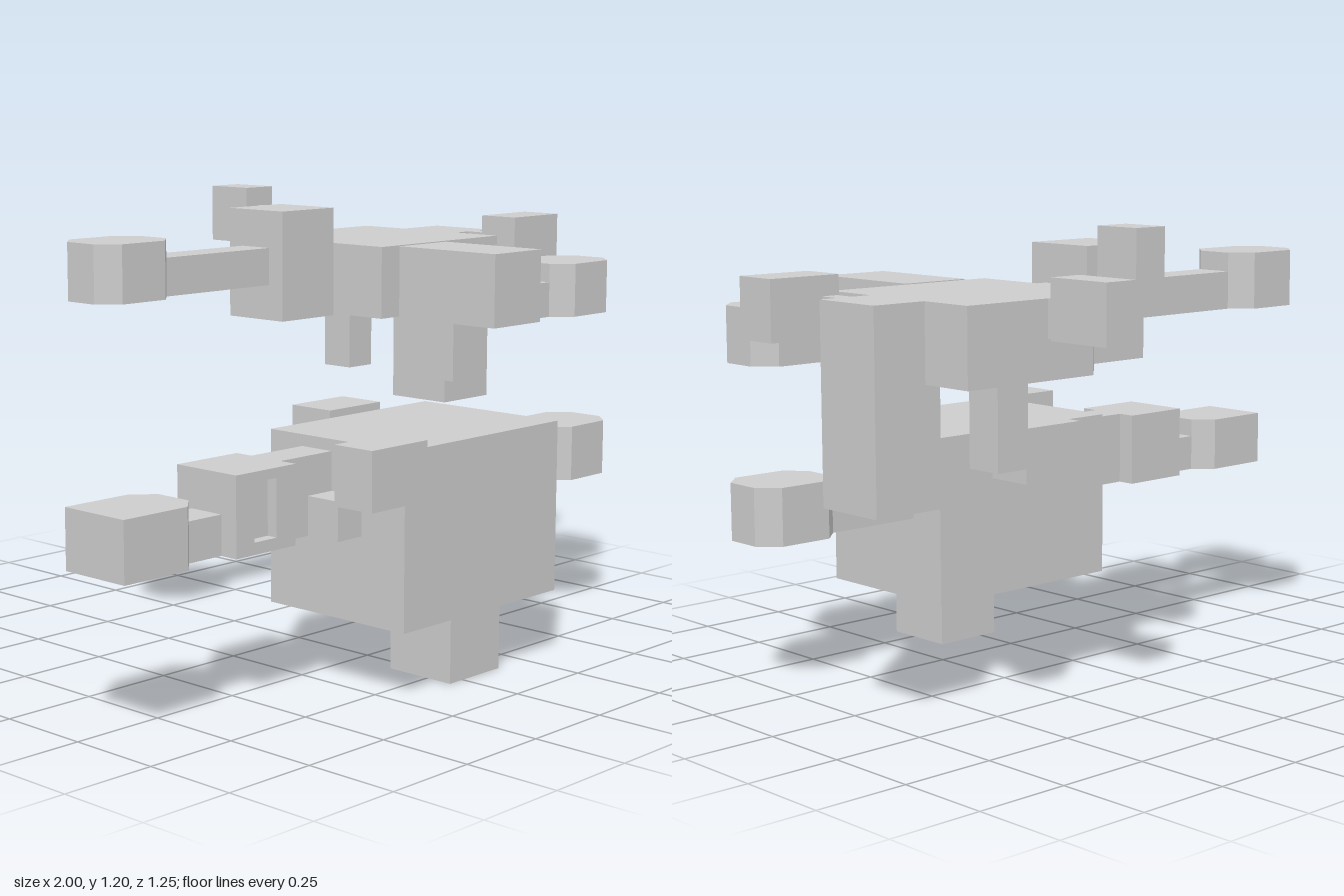
import * as THREE from 'three';

export function createModel() {
  const model = new THREE.Group();
  const grey = new THREE.MeshStandardMaterial({ color: 0xcccccc });
  grey.name = 'light grey';

  const add = (name, geometry) => {
    const mesh = new THREE.Mesh(geometry, grey);
    mesh.name = name;
    model.add(mesh);
    return mesh;
  };

  // Box given by its extents on each axis
  const box = (name, [x0, x1], [y0, y1], [z0, z1]) =>
    add(name, new THREE.BoxGeometry(x1 - x0, y1 - y0, z1 - z0)
      .translate((x0 + x1) / 2, (y0 + y1) / 2, (z0 + z1) / 2));

  // Upright prism over a plan outline of [x, z] corners
  const prism = (name, plan, [y0, y1]) => {
    const shape = new THREE.Shape(plan.map(([x, z]) => new THREE.Vector2(x, -z)));
    const geometry = new THREE.ExtrudeGeometry(shape, { depth: y1 - y0, bevelEnabled: false });
    return add(name, geometry.rotateX(-Math.PI / 2).translate(0, y0, 0));
  };

  // Hand with clipped corners; cutLeft / cutRight set the clip at low and high x
  const hand = (name, [x0, x1], y, [z0, z1], cutLeft = 0.05, cutRight = 0.05) => {
    const l = cutLeft, r = cutRight;
    const plan = [[x0 + l, z1], [x1 - r, z1]];
    if (r) plan.push([x1, z1 - r], [x1, z0 + r]);
    plan.push([x1 - r, z0], [x0 + l, z0]);
    if (l) plan.push([x0, z0 + l], [x0, z1 - l]);
    return prism(name, plan, y);
  };

  const armZ = [0.27, 0.37], handZ = [0.22, 0.42], rearZ = [-0.28, -0.08];

  // Lower body
  box('lowerBody', [-0.27, 0.33], [0.18, 0.63], [0.16, 0.61]);
  box('lowerFoot', [-0.05, 0.145], [0, 0.18], [0.375, 0.575]);
  box('lowerBackBlock', [-0.05, 0.145], [0.5, 0.65], [0.025, 0.16]);
  box('lowerFrontBlock', [-0.4, -0.2], [0.5, 0.65], [0.5, 0.62]);

  // Lower arm at low x, with a recessed elbow
  box('lowerRightShoulder', [-0.45, -0.27], [0.4, 0.6], armZ);
  box('lowerRightShoulderStep', [-0.355, -0.27], [0.4, 0.5], [0.37, 0.47]);
  box('lowerRightElbow', [-0.65, -0.45], [0.4, 0.6], [0.22, 0.39]);
  const frame = new THREE.Shape([[-0.65, 0.4], [-0.45, 0.4], [-0.45, 0.6], [-0.65, 0.6]]
    .map(p => new THREE.Vector2(...p)));
  frame.holes.push(new THREE.Path([[-0.59, 0.43], [-0.59, 0.575], [-0.515, 0.575], [-0.515, 0.43]]
    .map(p => new THREE.Vector2(...p))));
  add('lowerRightElbowFrame',
    new THREE.ExtrudeGeometry(frame, { depth: 0.03, bevelEnabled: false }).translate(0, 0, 0.39));
  box('lowerRightWrist', [-0.755, -0.65], [0.4, 0.5], armZ);
  hand('lowerRightHand', [-1, -0.755], [0.4, 0.55], handZ, 0);

  // Lower arm at high x, with two pegs
  box('lowerLeftArm', [0.33, 0.6], [0.4, 0.5], armZ);
  for (const x of [[0.33, 0.37], [0.5, 0.545]]) box('armPeg', x, [0.5, 0.575], [0.305, 0.35]);
  hand('lowerLeftHand', [0.6, 0.845], [0.4, 0.55], handZ);

  // Upper body with one clipped corner
  prism('upperBody', [[0.25, 0.07], [0.745, 0.07], [0.745, -0.43], [0.345, -0.43], [0.25, -0.335]],
    [0.855, 1.05]);
  box('tallLeg', [0.7, 0.895], [0.555, 1.05], rearZ);
  box('frontShortLeg', [0.55, 0.645], [0.65, 0.95], [-0.02, 0.075]);
  box('backShortLeg', [0.55, 0.645], [0.65, 0.95], [-0.42, -0.32]);

  // Upper front arm
  box('upperFrontJoint', [0.325, 0.47], [0.875, 1.03], [0.06, 0.1]);
  box('upperFrontBlock', [0.3, 0.495], [0.855, 1.05], [0.09, 0.42]);
  box('upperFrontPlate', [0.495, 0.52], [0.87, 1], [0.25, 0.395]);
  box('upperFrontWrist', [0.495, 0.6], [0.855, 0.95], armZ);
  hand('upperFrontHand', [0.6, 0.845], [0.855, 1], handZ);

  // Long arm and its shoulder block
  box('longArmJoint', [0.21, 0.26], [0.95, 1.05], [-0.23, -0.13]);
  box('longArmShoulder', [0.02, 0.22], [0.855, 1.15], rearZ);
  box('longArm', [-0.36, 0.02], [0.95, 1.05], [-0.23, -0.13]);
  hand('longArmHand', [-0.6, -0.355], [0.95, 1.1], rearZ);

  // Small outer blocks with their joints
  box('sideBlock', [0.795, 0.995], [0.95, 1.1], [-0.025, 0.095]);
  box('sideBlockJoint', [0.8, 0.845], [0.95, 1.05], [-0.08, -0.02]);
  box('shoulderBackBlock', [0.095, 0.195], [1.05, 1.2], [-0.425, -0.29]);
  box('shoulderBackJoint', [0.125, 0.165], [1.05, 1.15], [-0.3, -0.27]);
  box('rearBlock', [0.4, 0.495], [0.95, 1.1], [-0.625, -0.44]);
  box('rearJoint', [0.4, 0.495], [0.955, 1.05], [-0.445, -0.42]);

  return model;
}
